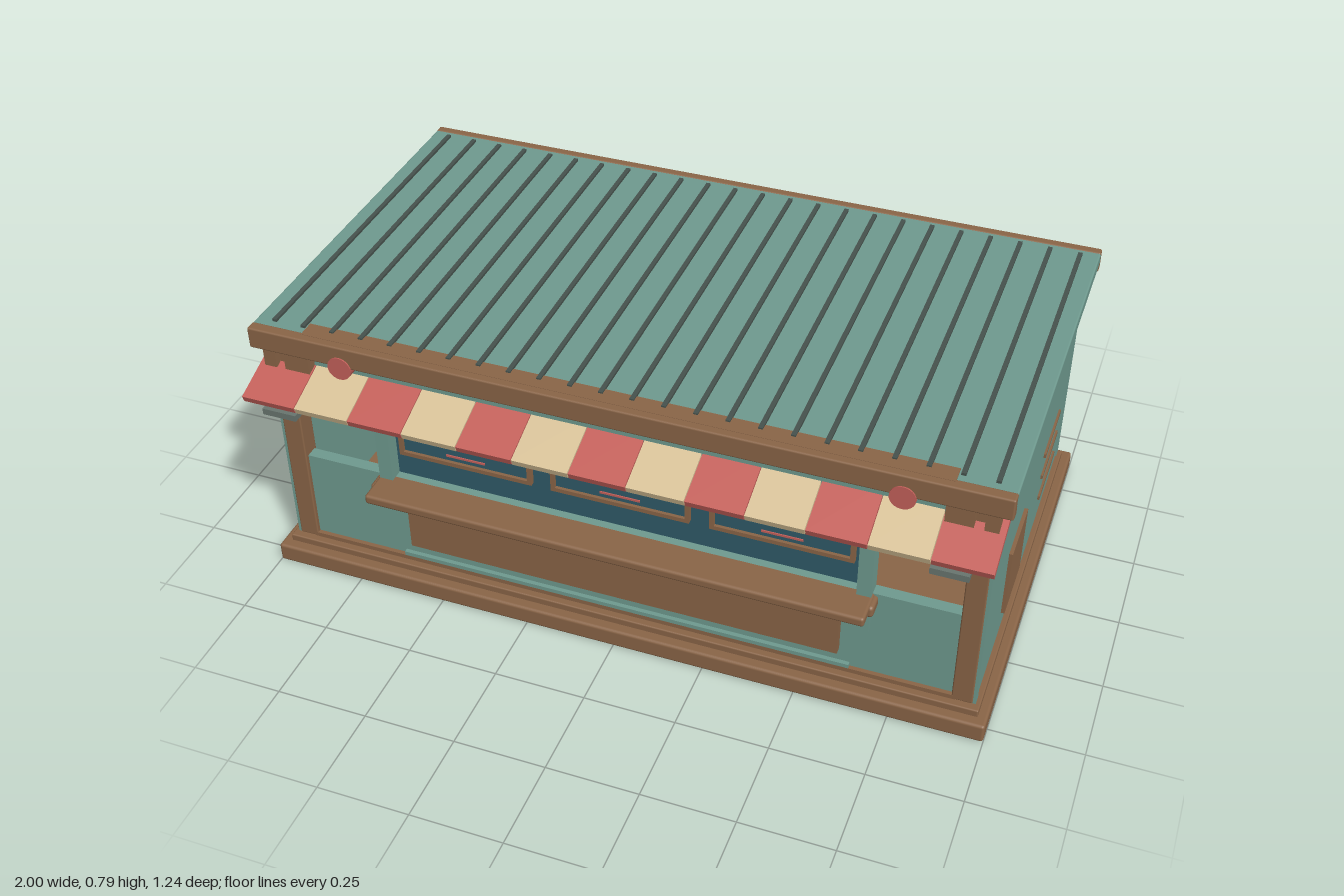
import * as THREE from 'three';
import { RoundedBoxGeometry } from 'three/addons/geometries/RoundedBoxGeometry.js';

const mat = (color) => new THREE.MeshStandardMaterial({ color });

export function createModel() {
  const root = new THREE.Group();
  const teal = mat(0x6f9a8f), wood = mat(0x8a6547), red = mat(0xc4605a);
  const cream = mat(0xd8c298), glass = mat(0x2f5a68), dark = mat(0x46524d), steel = mat(0x68756f);

  const add = (name, geo, m, parent = root) => {
    const mesh = new THREE.Mesh(geo, m);
    mesh.name = name;
    parent.add(mesh);
    return mesh;
  };
  // Box given by its limits on each axis; r rounds the edges
  const box = (name, m, [x0, x1], [y0, y1], [z0, z1], r = 0, parent = root) => {
    const s = [x1 - x0, y1 - y0, z1 - z0];
    const geo = r ? new RoundedBoxGeometry(...s, 2, r) : new THREE.BoxGeometry(...s);
    const mesh = add(name, geo, m, parent);
    mesh.position.set((x0 + x1) / 2, (y0 + y1) / 2, (z0 + z1) / 2);
    return mesh;
  };
  // The same box on both sides of the model
  const pair = (name, m, [x0, x1], y, z, r = 0) => {
    box(name, m, [x0, x1], y, z, r);
    box(name, m, [-x1, -x0], y, z, r);
  };

  // Plinth and floor
  box('plinth', wood, [-1, 1], [0, 0.055], [-0.617, 0.55], 0.008);
  box('floor', wood, [-0.975, 0.975], [0.05, 0.075], [-0.587, 0.52], 0.004);

  // Hollow shell, open at the upper front corners
  box('backWall', teal, [-0.96, 0.96], [0.075, 0.75], [-0.58, -0.545]);
  pair('sideWall', teal, [0.925, 0.96], [0.075, 0.75], [-0.58, 0.485]);
  pair('cornerTrim', teal, [0.935, 0.963], [0.075, 0.745], [-0.583, -0.555]);
  pair('sideEdgeTrim', teal, [0.945, 0.963], [0.075, 0.745], [0.47, 0.497]);
  box('lowerFrontWall', teal, [-0.91, 0.91], [0.085, 0.355], [0.455, 0.488]);
  box('frontSill', wood, [-0.91, 0.91], [0.07, 0.088], [0.455, 0.5]);
  box('upperFrontBand', teal, [-0.93, 0.93], [0.61, 0.75], [0.455, 0.49]);
  box('openingHeader', wood, [-0.91, 0.91], [0.593, 0.613], [0.45, 0.495]);
  pair('frontPost', wood, [0.9, 0.955], [0.075, 0.725], [0.445, 0.5], 0.004);
  pair('windowPost', teal, [0.637, 0.675], [0.235, 0.6], [0.455, 0.505]);
  box('frontApron', wood, [-0.6, 0.6], [0.14, 0.285], [0.48, 0.51]);
  box('apronFoot', teal, [-0.63, 0.63], [0.088, 0.1], [0.48, 0.5]);

  // Side hatches and vent slots
  for (const s of [-1, 1]) {
    const x = s > 0 ? [0.95, 0.97] : [-0.97, -0.95];
    box('sideHatch', wood, x, [0.145, 0.35], [0.035, 0.225]);
    for (const y of [0.165, 0.24, 0.315])
      box('ventSlat', wood, s > 0 ? [0.95, 0.966] : [-0.966, -0.95], [y - 0.006, y + 0.006], [-0.455, -0.24]);
  }

  // Roof with ribs and fascia boards
  box('roof', teal, [-0.995, 0.995], [0.74, 0.779], [-0.58, 0.515], 0.005);
  for (let i = 0; i < 24; i++) {
    const x = -0.943 + i * 0.082;
    box('roofRib', dark, [x - 0.006, x + 0.006], [0.77, 0.786], [-0.545, 0.48]);
  }
  box('frontFascia', wood, [-0.995, 0.995], [0.72, 0.781], [0.5, 0.532], 0.005);
  box('frontRoofStrip', wood, [-0.85, 0.85], [0.74, 0.782], [0.46, 0.51]);
  box('backFascia', wood, [-0.995, 0.995], [0.72, 0.781], [-0.592, -0.565], 0.005);
  pair('fasciaBracket', wood, [0.835, 0.905], [0.665, 0.725], [0.48, 0.52]);
  pair('endBracket', wood, [0.93, 0.965], [0.64, 0.725], [0.485, 0.52]);

  // Window wall with three framed menu windows
  box('windowWall', glass, [-0.637, 0.637], [0.35, 0.615], [0.445, 0.465]);
  for (const cx of [-0.432, 0, 0.432]) {
    const win = new THREE.Group();
    win.name = 'window';
    win.position.set(cx, 0.505, 0.465);
    root.add(win);
    box('pane', glass, [-0.18, 0.18], [-0.07, 0.07], [-0.005, 0.006], 0, win);
    for (const s of [-1, 1]) {
      const a = s * 0.183, b = s * 0.069;
      box('frameStile', wood, [a - 0.006, a + 0.006], [-0.075, 0.075], [-0.005, 0.015], 0, win);
      box('frameRail', wood, [-0.189, 0.189], [b - 0.006, b + 0.006], [-0.005, 0.015], 0, win);
    }
    [[0.03, 0.13], [0.005, 0.11], [-0.02, 0.13], [-0.047, 0.055]].forEach(([y, w], i) =>
      box('paneLine', i === 3 ? red : wood, [-w, w], [y - 0.003, y + 0.003], [0, 0.009], 0, win));
  }

  // Serving counter
  box('counter', wood, [-0.68, 0.68], [0.327, 0.355], [0.46, 0.587], 0.008);
  box('counterRail', wood, [-0.69, 0.69], [0.315, 0.35], [0.48, 0.537], 0.01);

  // Striped awning and its arms
  for (let i = 0; i < 13; i++) {
    const slat = add('awningSlat', new THREE.BoxGeometry(0.149, 0.02, 0.175), i % 2 ? cream : red);
    slat.position.set((i - 6) * 0.151, 0.648, 0.535);
    slat.rotation.x = 0.35;
  }
  pair('awningArm', steel, [0.83, 0.925], [0.585, 0.603], [0.48, 0.62]);

  // Round lamps on the fascia
  for (const s of [-1, 1]) {
    const lamp = add('lamp', new THREE.CylinderGeometry(0.033, 0.033, 0.025, 24), red);
    lamp.rotation.x = Math.PI / 2;
    lamp.position.set(s * 0.735, 0.718, 0.523);
  }
  return root;
}
